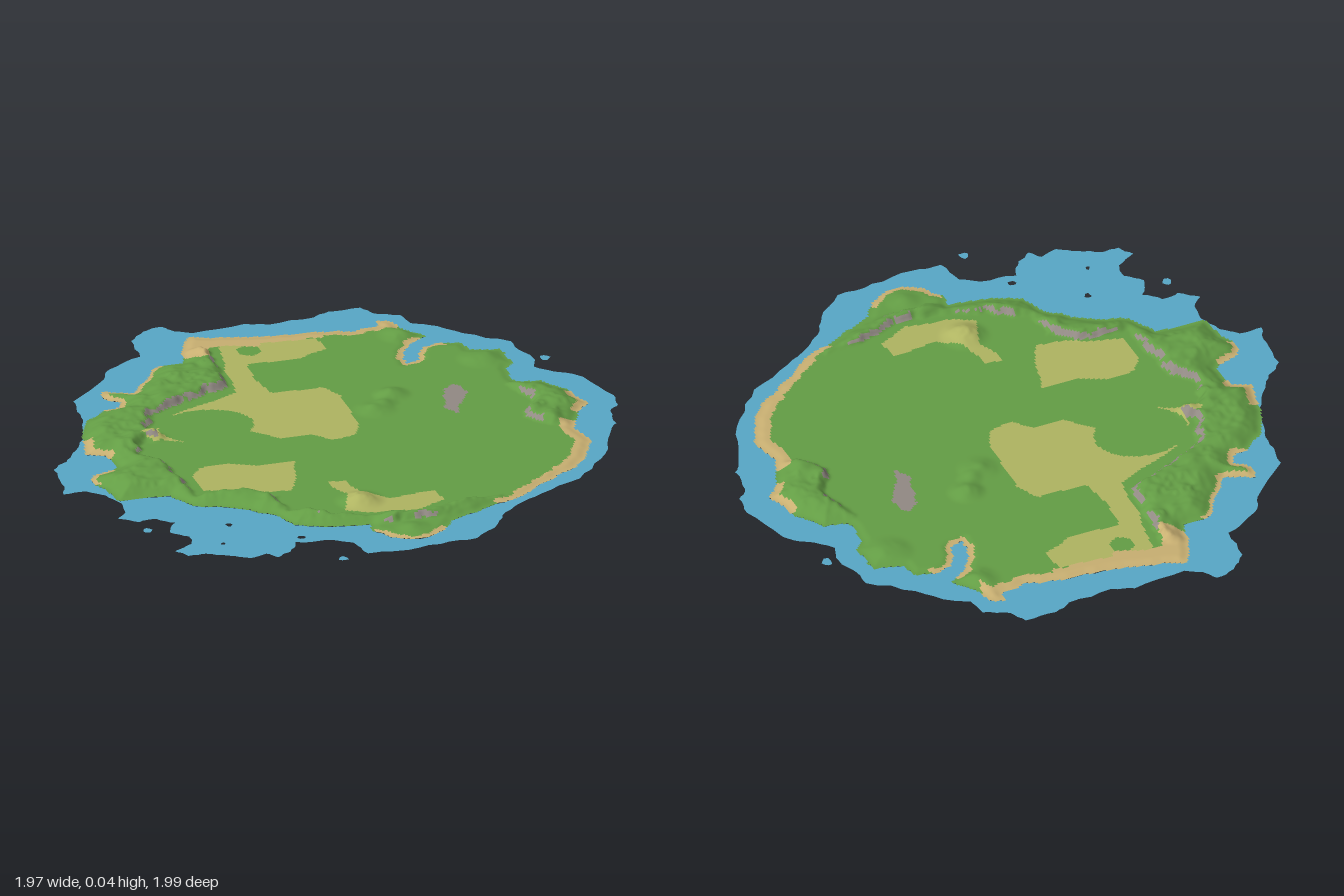
import * as THREE from 'three';

const mat = (name, color) => Object.assign(
  new THREE.MeshStandardMaterial({ color, side: THREE.DoubleSide }), { name });

// Outlines are x, z pairs in hundredths of a unit
const SEA = [-27, -100, -24, -95, -19, -92, 0, -94, 7, -91, 23, -92, 29, -95, 40, -95, 43, -89, 51, -85, 52, -78, 57, -75,
  66, -65, 79, -54, 80, -45, 82, -37, 80, -32, 87, -25, 93, -19, 98, -2, 97, 6, 93, 10, 92, 20, 89, 24, 83, 39, 73, 53,
  67, 59, 51, 67, 41, 73, 35, 78, 30, 86, 20, 95, 7, 96, -8, 97, -18, 96, -20, 86, -26, 82, -38, 80, -42, 87, -47, 90,
  -50, 86, -56, 88, -62, 84, -69, 80, -75, 80, -78, 75, -71, 71, -70, 65, -75, 60, -71, 53, -76, 48, -82, 49, -88, 44,
  -84, 40, -83, 33, -86, 25, -91, 20, -99, 20, -97, 12, -96, 0, -90, -5, -86, -11, -79, -21, -76, -32, -74, -40,
  -73, -51, -58, -65, -54, -72, -41, -79, -40, -92, -34, -98];
const LAND = [-21, -88, -14, -85, -2, -82, 8, -81, 21, -79, 32, -76, 41, -78, 42, -82, 46, -80, 47, -74, 53, -66, 46, -62,
  42, -56, 40, -46, 46, -48, 50, -57, 56, -59, 62, -57, 63, -51, 73, -48, 74, -37, 70, -32, 70, -22, 78, -20, 84, -11,
  86, -2, 88, 2, 82, 8, 77, 20, 79, 32, 74, 42, 68, 50, 58, 57, 40, 69, 29, 73, 16, 79, 11, 86, 2, 90, -7, 86, -11, 79,
  -10, 74, -26, 71, -34, 67, -37, 58, -47, 49, -61, 42, -66, 32, -83, 31, -84, 21, -87, 13, -84, 9, -75, 5, -76, -5,
  -82, -8, -80, -16, -78, -24, -73, -34, -65, -40, -60, -41, -58, -45, -63, -50, -62, -55, -53, -50, -47, -57,
  -39, -68, -29, -69, -27, -77];
// Hill country: the inland edge is a cliff, the other side runs down to the shore
const WEST_RIDGE = [-18, -76, -19, -60, -21, -44, -40, -36, -52, -30, -57, -20, -54, -11, -62, -10, -66, 0, -60, 8, -58, 25,
  -58, 36, -40, 37, -33, 45, -32, 56, -20, 64, -5, 69, 10, 71, 25, 66, 38, 65, 42, 74, 16, 78, -10, 77, -30, 85,
  -60, 100, -105, 30, -100, -50, -50, -80, -25, -80];
const EAST_RIDGE = [66, -20, 80, -30, 100, -8, 95, 8, 76, 20, 66, 12, 64, 4, 70, -4];
const DRY = [
  [-14, -80, 18, -74, 18, -65, 8, -60, -10, -61, -11, -48, -9, -36, 8, -36, 12, -28, 11, -5, 7, 5, -2, 6, -7, 0, -18, 0,
    -25, -8, -48, -6, -55, -10, -55, -19, -47, -28, -20, -40, -18, -60],
  [-55, 20, -50, 15, -40, 14, -32, 18, -19, 19, -22, 30, -27, 41, -36, 40, -44, 36, -55, 33],
  [-14, 38, -8, 39, -5, 50, 2, 57, 18, 55, 18, 63, 8, 69, -8, 66, -15, 62, -11, 50],
  [-61, -15, -56, -17, -53, -11, -58, -9]];
const STONE = [43, -14, 45, -22, 50, -25, 52, -15, 47, -9, 44, -3, 41, -8];

const toPoints = flat => Array.from({ length: flat.length / 2 },
  (_, i) => new THREE.Vector2(flat[2 * i] / 100, flat[2 * i + 1] / 100));

// Value noise in -1..1
const hash = (i, j) => { const s = Math.sin(i * 127.1 + j * 311.7) * 43758.5453; return (s - Math.floor(s)) * 2 - 1; };
function noise(x, z) {
  const i = Math.floor(x), j = Math.floor(z), L = THREE.MathUtils.lerp;
  const u = THREE.MathUtils.smoothstep(x - i, 0, 1), v = THREE.MathUtils.smoothstep(z - j, 0, 1);
  return L(L(hash(i, j), hash(i + 1, j), u), L(hash(i, j + 1), hash(i + 1, j + 1), u), v);
}

// Halves every edge and nudges the new point sideways, for a natural coast
function roughen(pts, times = 2) {
  for (let t = 0; t < times; t++) pts = pts.flatMap((a, i) => {
    const b = pts[(i + 1) % pts.length], d = b.clone().sub(a);
    const k = Math.min(0.1, 0.008 / d.length()) * hash(i, t + 3);
    return [a, new THREE.Vector2(a.x + d.x / 2 - d.y * k, a.y + d.y / 2 + d.x * k)];
  });
  return pts;
}
// Distance to an outline, positive inside it
function depth(pts, x, z) {
  let inside = false, best = 9;
  for (let i = 0, j = pts.length - 1; i < pts.length; j = i++) {
    const a = pts[i], b = pts[j], dx = b.x - a.x, dz = b.y - a.y;
    if ((a.y > z) !== (b.y > z) && x < dx * (z - a.y) / dz + a.x) inside = !inside;
    const t = THREE.MathUtils.clamp(((x - a.x) * dx + (z - a.y) * dz) / (dx * dx + dz * dz), 0, 1);
    best = Math.min(best, Math.hypot(x - a.x - t * dx, z - a.y - t * dz));
  }
  return inside ? best : -best;
}

const land = roughen(toPoints(LAND)), sea = roughen(toPoints(SEA));
const ridges = [WEST_RIDGE, EAST_RIDGE].map(p => roughen(toPoints(p), 1));
const dry = DRY.map(toPoints), stone = toPoints(STONE);
const ramp = (d, w) => THREE.MathUtils.smoothstep(d, 0, w);
// Knolls: x, z, radius, height
const KNOLLS = [[-0.08, 0.56, 0.09, 0.025], [0.19, -0.13, 0.08, 0.014], [0.28, -0.23, 0.07, 0.02], [0.24, -0.17, 0.05, 0.01],
  [0.46, -0.69, 0.09, 0.018], [0.65, -0.42, 0.09, 0.014], [0.02, 0.82, 0.07, 0.01], [-0.57, -0.13, 0.05, 0.015]];

function heightAt(x, z, shore) {
  let y = 0.003 + 0.005 * ramp(shore, 0.03);
  const bumps = noise(x * 22, z * 22) * 0.5 + (0.5 - Math.abs(noise(x * 38 + 9, z * 38))) * 0.5;
  for (const r of ridges) {
    const d = depth(r, x, z) + noise(x * 40, z * 40) * 0.008;
    y += 0.027 * ramp(d, 0.035) * ramp(shore, 0.08) * (0.85 + 0.45 * bumps);
  }
  for (const [kx, kz, r, h] of KNOLLS)
    y += h * ramp(r - Math.hypot(x - kx, z - kz), r) * ramp(shore, 0.05) * (1 + 0.4 * bumps);
  return Math.min(y, 0.042 + 0.002 * bumps);
}

// Beaches: x, z, radius, width of the sand
const BEACHES = [[-0.15, -0.82, 0.16, 0.08], [0.08, -0.8, 0.14, 0.055], [0.3, -0.78, 0.17, 0.035], [0.46, -0.54, 0.12, 0.016],
  [0.78, 0.28, 0.14, 0.05], [0.72, 0.45, 0.13, 0.045], [0.55, 0.6, 0.14, 0.03], [0.42, 0.68, 0.08, 0.02],
  [0.86, 0, 0.09, 0.025], [-0.8, -0.1, 0.09, 0.025], [-0.59, -0.47, 0.1, 0.016], [0, 0.87, 0.13, 0.016],
  [-0.84, 0.1, 0.07, 0.014], [-0.45, -0.6, 0.12, 0.01]];
const GRASS = 0, DRYGRASS = 1, SAND = 2, ROCK = 3;

function colourAt(x, z, shore, rise) {
  if (BEACHES.some(([bx, bz, r, w]) => Math.hypot(x - bx, z - bz) < r && shore < w + 0.006 * noise(x * 30, z * 30))) return SAND;
  if (rise > 0.0072 && shore > 0.03 && noise(x * 14, z * 14) > -0.35) return ROCK;
  if (depth(stone, x, z) + 0.012 * noise(x * 40, z * 40) > 0) return ROCK;
  const meadow = Math.hypot((x + 0.38) / 0.16, (z + 0.17) / 0.13) < 1 || Math.hypot(x + 0.06, z + 0.71) < 0.04;
  if (!meadow && dry.some(p => depth(p, x, z) + 0.006 * noise(x * 16, z * 16) > 0)) return DRYGRASS;
  return GRASS;
}

// Height-field ground, cut to the coast and sorted into colour groups
function buildGround(materials) {
  const CELL = 0.0075, N = 250, half = N * CELL / 2;
  const at = i => i * CELL - half;
  const shore = [], ids = new Map(), pos = [], lists = materials.map(() => []);
  for (let j = 0; j <= N; j++) for (let i = 0; i <= N; i++) shore.push(depth(land, at(i), at(j)));
  const vertex = (i, j) => {
    const k = j * (N + 1) + i;
    if (!ids.has(k)) {
      ids.set(k, pos.length / 3);
      pos.push(at(i), heightAt(at(i), at(j), shore[k]), at(j));
    }
    return ids.get(k);
  };
  for (let j = 0; j < N; j++) for (let i = 0; i < N; i++) {
    const k = j * (N + 1) + i;
    const depths = [shore[k], shore[k + 1], shore[k + N + 1], shore[k + N + 2]];
    if (Math.max(...depths) <= 0) continue;
    const a = vertex(i, j), b = vertex(i, j + 1), c = vertex(i + 1, j), d = vertex(i + 1, j + 1);
    const ys = [a, b, c, d].map(v => pos[3 * v + 1]);
    const mid = (depths[0] + depths[3]) / 2;
    const kind = colourAt(at(i + 0.5), at(j + 0.5), mid, Math.max(...ys) - Math.min(...ys));
    lists[kind].push(a, b, c, c, b, d);
  }
  const geo = new THREE.BufferGeometry();
  geo.setAttribute('position', new THREE.Float32BufferAttribute(pos, 3));
  geo.setIndex(lists.flat());
  let start = 0;
  lists.forEach((list, m) => { geo.addGroup(start, list.length, m); start += list.length; });
  geo.computeVertexNormals();
  return new THREE.Mesh(geo, materials);
}

export function createModel() {
  const model = new THREE.Group();
  model.name = 'island';
  const water = mat('shallowWater', 0x58a8c8);
  const add = (mesh, name) => { mesh.name = name; model.add(mesh); };

  add(buildGround([mat('grass', 0x649e45), mat('dryGrass', 0xb0b562),
    mat('sand', 0xc9b072), mat('rock', 0x928a84)]), 'ground');

  // Flat ring of shallow water around the coast, with a few small gaps
  const flip = pts => pts.map(p => new THREE.Vector2(p.x, -p.y));
  const blob = (x, z, r) => Array.from({ length: 9 }, (_, i) => {
    const a = i / 9 * Math.PI * 2, k = r * (1 + 0.3 * hash(i, x * 50));
    return new THREE.Vector2(x + Math.cos(a) * k, z + Math.sin(a) * k);
  });
  const flat = shape => new THREE.Mesh(new THREE.ShapeGeometry(shape).rotateX(-Math.PI / 2), water);
  const ring = new THREE.Shape(flip(sea));
  const gaps = [[-0.35, 0.77, 0.012], [-0.545, 0.6, 0.012], [-0.61, 0.74, 0.008]].map(g => blob(...g));
  ring.holes = [land, ...gaps].map(p => new THREE.Path(flip(p)));
  add(flat(ring), 'shallows');

  // Outlying scraps of shallow water
  for (const [x, z, r] of [[-0.815, 0.56, 0.016], [0.855, -0.38, 0.018], [-0.27, 0.975, 0.016]])
    add(flat(new THREE.Shape(flip(blob(x, z, r)))), 'outlyingShallow');
  return model;
}
